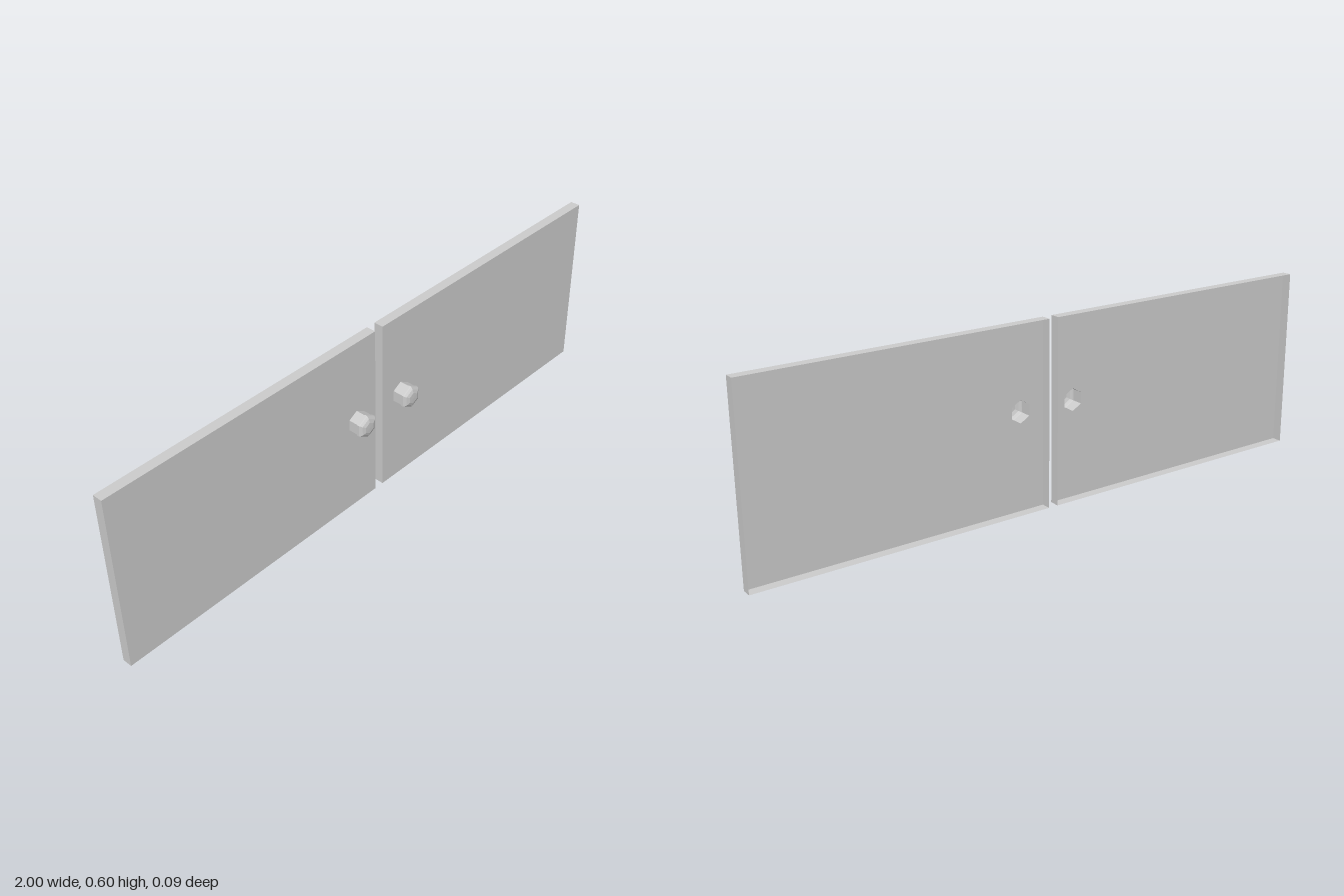
import * as THREE from 'three';

const material = new THREE.MeshStandardMaterial({
  color: 0xcccccc, flatShading: true, side: THREE.DoubleSide,
});

const INNER = 0.016, OUTER = 1, HEIGHT = 0.596;
const FRONT = -0.0105, BACK = -0.0425;
const KNOB_X = 0.098, KNOB_Y = 0.318, SHAFT_R = 0.0365;

function addMesh(parent, name, geometry) {
  const mesh = new THREE.Mesh(geometry, material);
  mesh.name = name;
  parent.add(mesh);
  return mesh;
}

function makeDoor(side) {
  const door = new THREE.Group();
  door.name = side > 0 ? 'leftDoor' : 'rightDoor';
  const width = OUTER - INNER, depth = FRONT - BACK;
  const midX = side * (INNER + OUTER) / 2, midZ = (FRONT + BACK) / 2;

  // Front sheet, pierced where the hollow knob joins it
  const sheet = new THREE.Shape();
  const x0 = midX - width / 2, x1 = midX + width / 2;
  sheet.moveTo(x0, 0).lineTo(x1, 0).lineTo(x1, HEIGHT).lineTo(x0, HEIGHT).closePath();
  const hole = [];
  for (let i = 0; i < 6; i++) {
    const a = Math.PI / 2 - i * Math.PI / 3;
    hole.push(new THREE.Vector2(side * KNOB_X + SHAFT_R * Math.cos(a), KNOB_Y + SHAFT_R * Math.sin(a)));
  }
  sheet.holes.push(new THREE.Path(hole));
  addMesh(door, 'frontPanel', new THREE.ShapeGeometry(sheet)).position.z = FRONT;

  // Thin rim on four sides, open at the back
  for (const s of [-1, 1]) {
    const upright = new THREE.PlaneGeometry(depth, HEIGHT).rotateY(s * Math.PI / 2);
    addMesh(door, 'sideRim', upright).position.set(midX + s * width / 2, HEIGHT / 2, midZ);
    const level = new THREE.PlaneGeometry(width, depth).rotateX(-s * Math.PI / 2);
    addMesh(door, s > 0 ? 'topRim' : 'bottomRim', level).position.set(midX, s > 0 ? HEIGHT : 0, midZ);
  }

  // Six-sided hollow knob: straight shaft, narrow collar, domed cap
  const profile = [
    [SHAFT_R, FRONT], [SHAFT_R, 0.021], [0.039, 0.022], [0.039, 0.029],
    [0.0375, 0.032], [0.031, 0.038], [0.019, 0.042], [0, 0.0425],
  ].map(([r, z]) => new THREE.Vector2(r, z));
  const knob = new THREE.LatheGeometry(profile, 6).rotateX(Math.PI / 2);
  addMesh(door, 'knob', knob).position.set(side * KNOB_X, KNOB_Y, 0);
  return door;
}

export function createModel() {
  const model = new THREE.Group();
  model.name = 'cabinetDoors';
  for (const side of [-1, 1]) model.add(makeDoor(side));
  return model;
}
